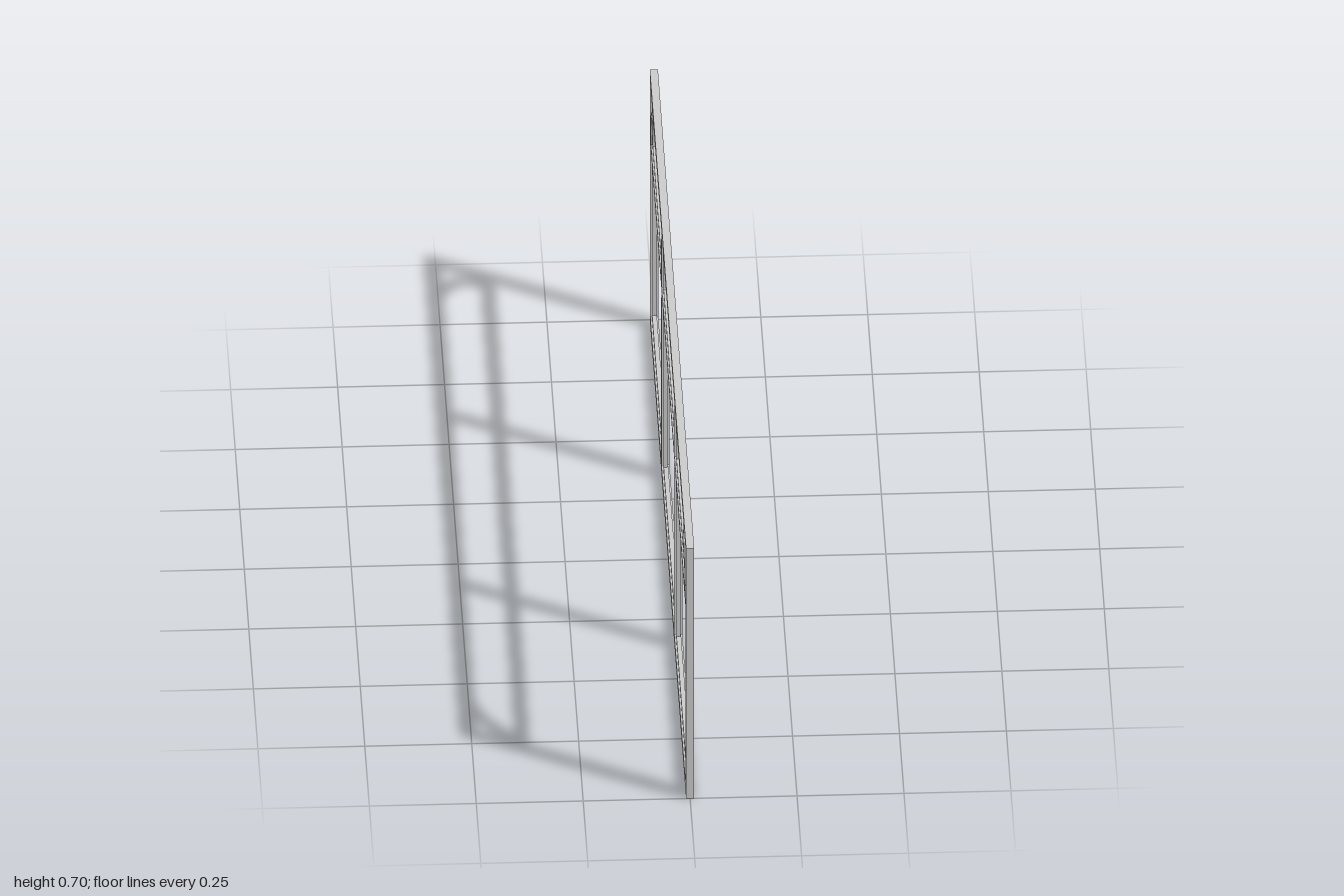
import * as THREE from 'three';

const DEPTH = 0.019;   // thickness of the frame
const LIP = 0.011;     // thickness of the stepped lips
const H = 0.705;
const BAR = 0.035;     // face width of the bars
const RAIL_LOW = 0.505, RAIL_HIGH = 0.535;

export function createModel() {
  const group = new THREE.Group();
  group.name = 'windowFrame';
  const material = new THREE.MeshStandardMaterial({ color: 0xcccccc, flatShading: true });

  // Shapes are drawn as (z, y) and given their thickness along x.
  function addPanel(parent, name, shape, depth, x = 0) {
    const geometry = new THREE.ExtrudeGeometry(shape, { depth, bevelEnabled: false, curveSegments: 14 });
    geometry.rotateY(-Math.PI / 2);
    geometry.translate(x + depth / 2, 0, 0);
    const mesh = new THREE.Mesh(geometry, material);
    mesh.name = name;
    parent.add(mesh);
  }

  function rect(z0, z1, y0, y1, Type = THREE.Shape) {
    return new Type([[z0, y0], [z1, y0], [z1, y1], [z0, y1]].map(p => new THREE.Vector2(...p)));
  }

  function ring(outer, inner) {
    const shape = rect(-1 + outer, 1 - outer, outer, H - outer);
    shape.holes.push(rect(-1 + inner, 1 - inner, inner, H - inner, THREE.Path));
    return shape;
  }

  function addPart(name) {
    const part = new THREE.Group();
    part.name = name;
    group.add(part);
    return part;
  }

  // Outer frame with a stepped inner lip
  const frame = addPart('outerFrame');
  addPanel(frame, 'frameBody', ring(0, 0.022), DEPTH);
  addPanel(frame, 'frameLip', ring(0.022, BAR), LIP);

  // Horizontal rail
  const rail = addPart('transomRail');
  const end = 1 - BAR;
  addPanel(rail, 'railCore', rect(-end, end, RAIL_LOW + 0.008, RAIL_HIGH - 0.008), DEPTH - 0.0006);
  addPanel(rail, 'railLip', rect(-end, end, RAIL_LOW, RAIL_HIGH), LIP);

  // Upright bars, in a lower and an upper length
  for (const [side, z] of [['front', 0.358], ['back', -0.349]]) {
    for (const [level, y0, y1] of [['Lower', BAR, RAIL_LOW], ['Upper', RAIL_HIGH, H - BAR]]) {
      const bar = addPart(side + level + 'Mullion');
      addPanel(bar, 'mullionCore', rect(z - 0.009, z + 0.009, y0, y1), DEPTH, -0.001);
      addPanel(bar, 'mullionLip', rect(z - BAR / 2, z + BAR / 2, y0, y1), LIP, -0.001);
    }
  }

  // Curved corner braces: an arc runs from the rail (foot) to the top bar (head)
  function arcPoints(foot, head, mirror) {
    const rise = H - BAR - RAIL_HIGH, run = foot - head;
    const radius = (rise * rise + run * run) / (2 * run);
    const sweep = Math.asin(rise / radius);
    const points = [];
    for (let i = 0; i <= 12; i++) {
      const a = sweep * i / 12;
      points.push(new THREE.Vector2(mirror * (foot - radius + radius * Math.cos(a)),
        RAIL_HIGH + radius * Math.sin(a)));
    }
    return points;
  }
  const band = (o, i, mirror) =>
    new THREE.Shape([...arcPoints(...o, mirror), ...arcPoints(...i, mirror).reverse()]);

  for (const [side, mirror] of [['front', 1], ['back', -1]]) {
    const brace = addPart(side + 'CornerBrace');
    addPanel(brace, 'braceCore', band([0.956, 0.871], [0.939, 0.842], mirror), DEPTH, -0.001);
    addPanel(brace, 'braceLip', band([0.965, 0.885], [0.93, 0.827], mirror), LIP, -0.001);
  }

  return group;
}
